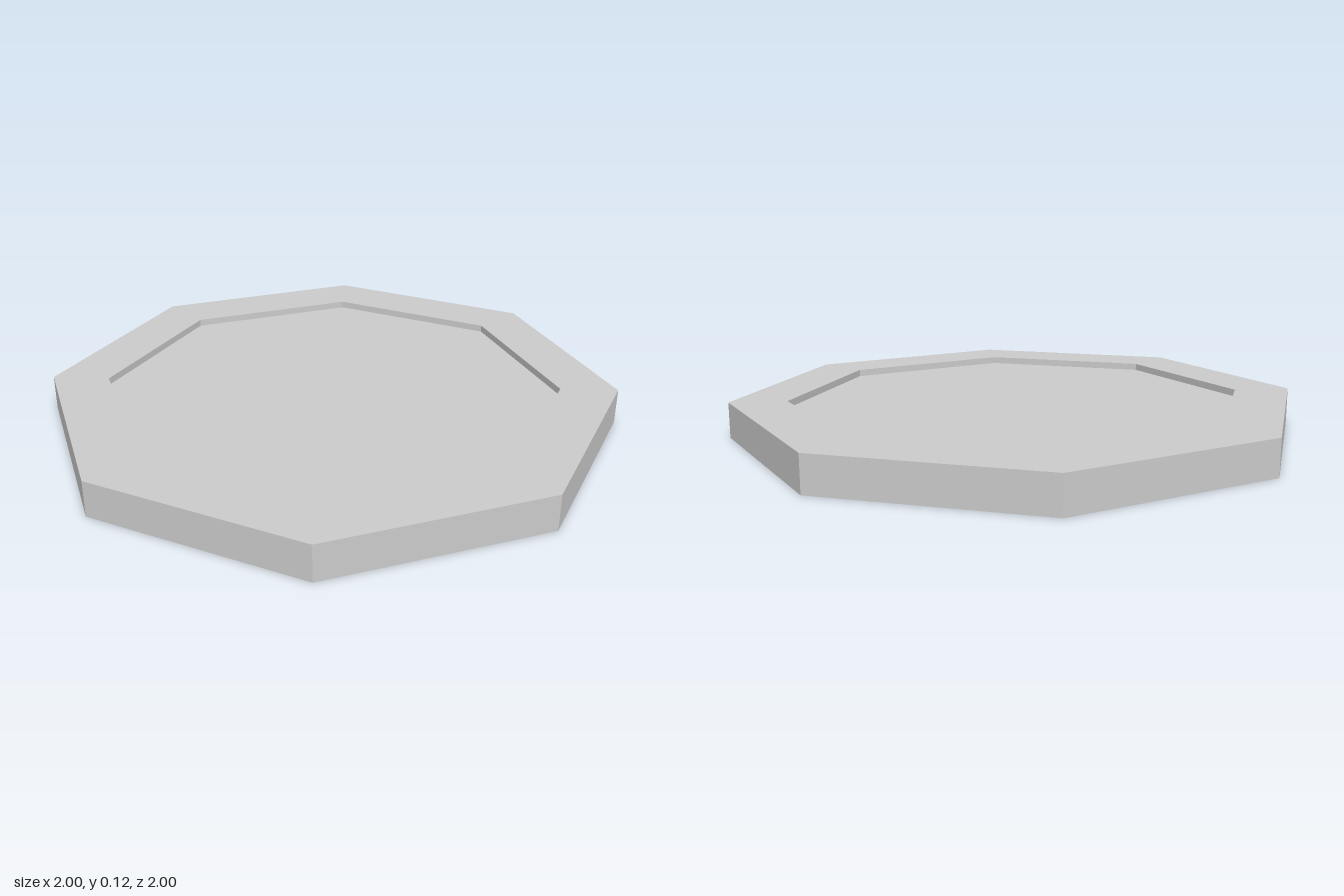
import * as THREE from 'three';

const SIDES = 8;
const HEIGHT = 0.125;
const FLOOR = 0.1; // height of the recessed floor
const RIM = 0.8; // inner radius of the rim

export function createModel() {
  const group = new THREE.Group();
  group.name = 'octagonalTray';
  const material = new THREE.MeshStandardMaterial({ color: 0xcccccc, flatShading: true });

  // Closed profile turned in eight steps: underside, outer wall, rim, recess wall, floor
  const profile = [
    [0, 0], [1, 0], [1, HEIGHT], [RIM, HEIGHT], [RIM, FLOOR], [0, FLOOR],
  ].map(([r, y]) => new THREE.Vector2(r, y));

  const tray = new THREE.Mesh(new THREE.LatheGeometry(profile, SIDES), material);
  tray.name = 'tray';
  group.add(tray);
  return group;
}
